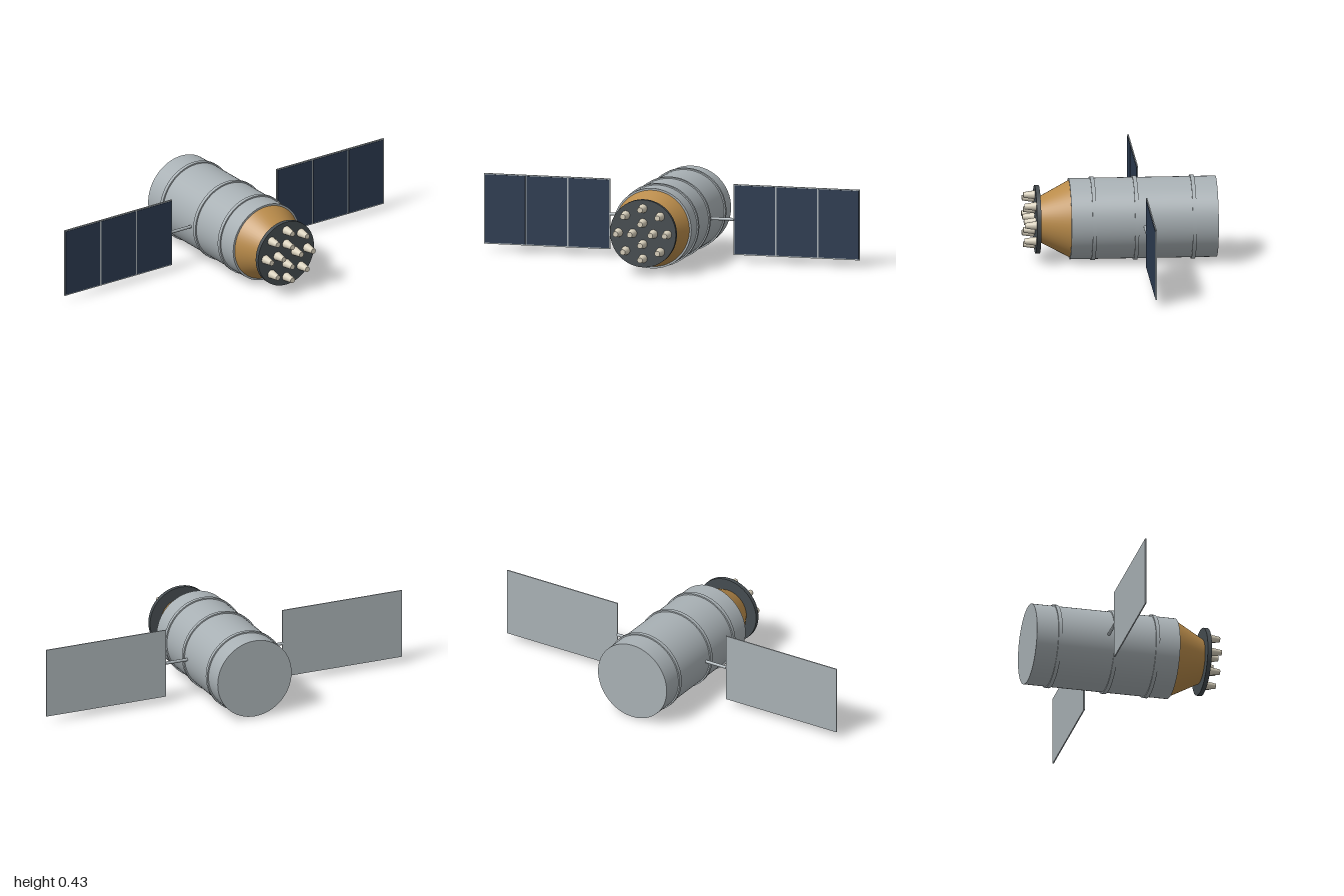
import * as THREE from 'three';

const AXIS_Y = 0.215; // height of the hull's long axis
const PANEL_Z = -0.115;

const material = (name, color) => {
  const m = new THREE.MeshStandardMaterial({ color });
  m.name = name;
  return m;
};

export function createModel() {
  const hullGrey = material('hull grey', 0xa8b0b4);
  const gold = material('gold foil', 0xb98b4a);
  const dark = material('dark plate', 0x454c50);
  const ivory = material('nozzle ivory', 0xd8d0bc);
  const navy = material('solar navy', 0x2b3a50);

  const model = new THREE.Group();
  model.name = 'spacecraft';

  const add = (parent, name, geometry, mat, x, y, z) => {
    const mesh = new THREE.Mesh(geometry, mat);
    mesh.name = name;
    mesh.position.set(x, y, z);
    parent.add(mesh);
    return mesh;
  };

  // Round part along z, from its back end to its front end
  const round = (name, mat, rBack, rFront, zBack, zFront, x = 0, y = 0, sides = 64) => {
    const geometry = new THREE.CylinderGeometry(rFront, rBack, zFront - zBack, sides);
    geometry.rotateX(Math.PI / 2);
    return add(model, name, geometry, mat, x, AXIS_Y + y, (zBack + zFront) / 2);
  };

  // Hull, nose cone and mounting plate
  round('hull', hullGrey, 0.208, 0.208, -0.495, 0.26);
  round('noseCone', gold, 0.198, 0.115, 0.26, 0.415);
  round('mountingPlate', dark, 0.175, 0.175, 0.413, 0.435);

  // Raised bands around the hull
  for (const z of [0.142, -0.076, -0.372]) {
    round('hullBand', hullGrey, 0.215, 0.215, z - 0.01, z + 0.01);
  }

  // Nozzles: an outer ring of eight and an inner ring of four
  for (const [count, radius] of [[8, 0.13], [4, 0.055]]) {
    for (let i = 0; i < count; i++) {
      const a = (i / count) * Math.PI * 2;
      round('nozzle', ivory, 0.023, 0.014, 0.435, 0.495,
        Math.cos(a) * radius, Math.sin(a) * radius, 20);
    }
  }

  // Solar wings, mirrored left and right
  for (const side of [1, -1]) {
    const wing = new THREE.Group();
    wing.name = side > 0 ? 'leftWing' : 'rightWing';
    wing.position.set(0, AXIS_Y + 0.002, PANEL_Z);
    model.add(wing);

    const boom = new THREE.CylinderGeometry(0.008, 0.008, 0.14, 16);
    boom.rotateZ(Math.PI / 2);
    add(wing, 'boom', boom, hullGrey, side * 0.26, 0, -0.002);

    add(wing, 'panelFrame', new THREE.BoxGeometry(0.672, 0.366, 0.006), hullGrey,
      side * 0.664, 0, -0.001);
    for (let i = 0; i < 3; i++) {
      add(wing, 'solarCell', new THREE.BoxGeometry(0.215, 0.354, 0.003), navy,
        side * (0.441 + i * 0.223), 0, 0.0025);
    }
  }

  return model;
}
